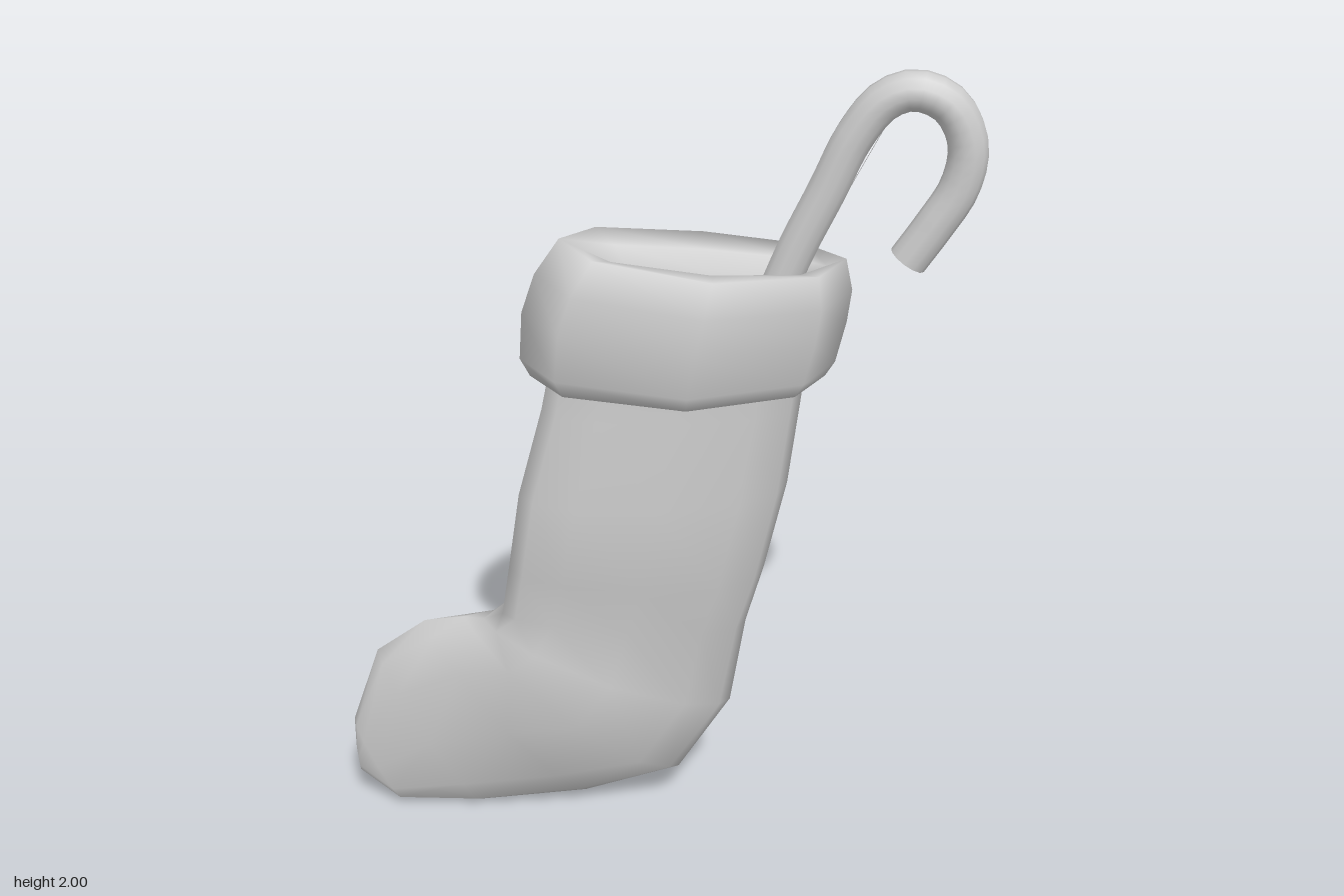
import * as THREE from 'three';

const material = new THREE.MeshStandardMaterial({ color: 0xcccccc });

function addMesh(group, name, geometry) {
  const mesh = new THREE.Mesh(geometry, material);
  mesh.name = name;
  group.add(mesh);
  return mesh;
}

// Ring collapsed to its centre, used to close the end of a loft
function closeRing(ring) {
  const centre = new THREE.Vector3();
  ring.forEach((p) => centre.addScaledVector(p, 1 / ring.length));
  return ring.map(() => centre.clone());
}

// Smooth skin through closed rings of equal point count
function loft(rings) {
  const n = rings[0].length;
  const index = [];
  for (let i = 0; i < rings.length - 1; i++) {
    for (let j = 0; j < n; j++) {
      const k = (j + 1) % n;
      const a = i * n + j, b = a + n, c = (i + 1) * n + k, d = i * n + k;
      index.push(a, b, c, a, c, d);
    }
  }
  const geometry = new THREE.BufferGeometry().setFromPoints(rings.flat());
  geometry.setIndex(index);
  geometry.computeVertexNormals();
  return geometry;
}

// Sock: each section runs from the instep side to the heel side
// [instep x, y, heel x, y, front z, back z, edge z at instep, at heel, front sharpness]
const SOCK = [
  [-0.22, 1.30, 0.38, 1.30, 0.10, -0.12, -0.01, -0.02, 1],
  [-0.24, 1.20, 0.37, 1.20, 0.10, -0.12, -0.01, -0.02, 1],
  [-0.30, 0.98, 0.348, 0.98, 0.11, -0.125, 0.00, -0.03, 1],
  [-0.33, 0.78, 0.30, 0.74, 0.105, -0.13, 0.00, -0.04, 1],
  [-0.35, 0.65, 0.26, 0.58, 0.06, -0.135, 0.00, -0.05, 1],
  [-0.40, 0.605, 0.225, 0.34, 0.08, -0.145, -0.05, -0.05, 1.4],
  [-0.45, 0.595, 0.095, 0.125, 0.092, -0.155, -0.08, -0.06, 1.7],
  [-0.55, 0.575, -0.15, 0.035, 0.02, -0.16, -0.10, -0.09, 1.5],
  [-0.675, 0.485, -0.43, 0.0, -0.03, -0.165, -0.11, -0.11, 1.2],
  [-0.75, 0.27, -0.64, 0.012, -0.075, -0.155, -0.12, -0.115, 1],
  [-0.752, 0.19, -0.745, 0.10, -0.115, -0.135, -0.125, -0.125, 1],
];
// Round front, flat back: [position across, bulge towards front (+) or back (-)]
const SECTION = [
  [0, 0], [0.05, 0.45], [0.2, 0.82], [0.5, 1], [0.8, 0.82], [0.95, 0.45],
  [1, 0], [0.96, -0.6], [0.83, -0.94], [0.5, -1], [0.17, -0.94], [0.04, -0.6],
];

function sockGeometry() {
  const rings = SOCK.map(([ax, ay, bx, by, front, back, az, bz, sharp]) =>
    SECTION.map(([t, bulge]) => {
      const edge = az + (bz - az) * t;
      const z = bulge > 0
        ? edge + (front - edge) * bulge ** sharp
        : edge - (back - edge) * bulge;
      return new THREE.Vector3(ax + (bx - ax) * t, ay + (by - ay) * t, z);
    }));
  rings.push(closeRing(rings[rings.length - 1]));
  return loft(rings);
}

// Cuff: one plan outline, scaled from the pocket floor over the rim and down the outside
const PLAN = [
  [-0.28, -0.06], [-0.20, 0.085], [0.10, 0.185], [0.38, 0.095],
  [0.475, -0.05], [0.38, -0.14], [0.11, -0.185], [-0.18, -0.165],
];
// [y, x scale, z scale, x shift, tilt]
const CUFF = [
  [1.42, 0.58, 0.14, 0.05, 0.05],
  [1.52, 0.65, 0.22, 0.05, 0.08],
  [1.565, 0.74, 0.45, 0.045, 0.09],
  [1.585, 0.87, 0.9, 0.04, 0.09],
  [1.50, 0.97, 0.97, 0.02, 0.07],
  [1.41, 1.00, 1.00, 0.00, 0.05],
  [1.30, 0.98, 0.92, -0.015, 0.03],
  [1.26, 0.92, 0.82, -0.015, 0.02],
  [1.25, 0.78, 0.62, -0.02, 0.02],
];

function cuffGeometry() {
  const cx = 0.1, cz = -0.01;
  const rings = CUFF.map(([y, sx, sz, shift, tilt]) =>
    PLAN.map(([px, pz]) => {
      const x = cx + (px - cx) * sx + shift;
      const drift = -0.03 * (1 - sz); // pocket sits slightly towards the back
      return new THREE.Vector3(x, y - tilt * x, cz + (pz - cz) * sz + drift);
    }));
  rings.unshift(closeRing(rings[0]));
  return loft(rings);
}

// Hooked cane, leaning forward towards its hook
const CANE = [
  [0.245, 1.30], [0.34, 1.57], [0.405, 1.72], [0.46, 1.85], [0.518, 1.93], [0.582, 1.955],
  [0.657, 1.925], [0.70, 1.84], [0.69, 1.745], [0.64, 1.65], [0.59, 1.568],
];
const CANE_RADIUS = 0.045;

function addCane(group) {
  const curve = new THREE.CatmullRomCurve3(
    CANE.map(([x, y]) => new THREE.Vector3(x, y, -0.025 + (x - 0.3) * 0.2)));
  addMesh(group, 'caneTube', new THREE.TubeGeometry(curve, 40, CANE_RADIUS, 12));
  const cap = addMesh(group, 'caneEnd', new THREE.CircleGeometry(CANE_RADIUS, 12));
  cap.position.copy(curve.getPoint(1));
  cap.quaternion.setFromUnitVectors(new THREE.Vector3(0, 0, 1), curve.getTangent(1));
}

// Slim tapered channel behind the cane, open to the front
function addSliver(group) {
  const bottom = new THREE.Vector3(0.335, 1.48, -0.055);
  const top = new THREE.Vector3(0.542, 1.885, -0.112);
  const along = top.clone().sub(bottom);
  const sliver = addMesh(group, 'sliver', new THREE.CylinderGeometry(
    0.03, 0.012, along.length(), 8, 1, true, Math.PI * 0.3, Math.PI * 1.4));
  sliver.position.copy(bottom).lerp(top, 0.5);
  sliver.quaternion.setFromUnitVectors(new THREE.Vector3(0, 1, 0), along.normalize());
}

export function createModel() {
  const model = new THREE.Group();
  model.name = 'stocking';
  addMesh(model, 'sock', sockGeometry());
  addMesh(model, 'cuff', cuffGeometry());
  const cane = new THREE.Group();
  cane.name = 'cane';
  addCane(cane);
  model.add(cane);
  addSliver(model);
  return model;
}
